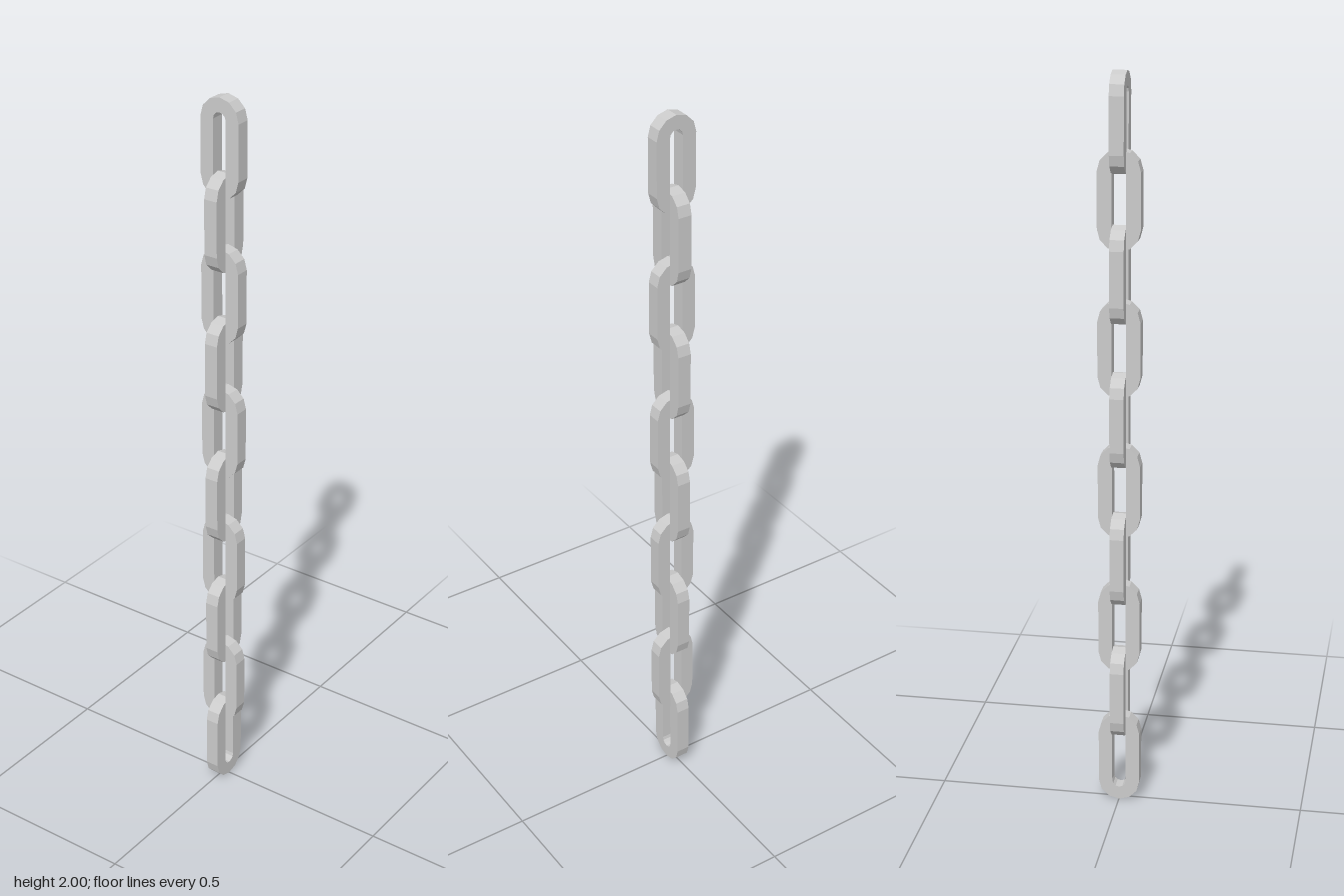
import * as THREE from 'three';

const COUNT = 10;          // links in the chain
const LENGTH = 0.258;      // overall length of a link
const RADIUS = 0.056;      // half width of a link
const BAR = 0.0374;        // square bar thickness
const PITCH = (2 - LENGTH) / (COUNT - 1);

// Stadium outline: two half circles joined by straight sides
function stadium(path, r, half) {
  path.absarc(0, half, r, 0, Math.PI, false);
  path.absarc(0, -half, r, Math.PI, Math.PI * 2, false);
  path.closePath();
  return path;
}

export function createModel() {
  const group = new THREE.Group();
  group.name = 'chain';
  const material = new THREE.MeshStandardMaterial({ color: 0xcccccc, flatShading: true });

  // One link: stadium with a stadium hole, six facets per rounded end
  const half = LENGTH / 2 - RADIUS;
  const shape = stadium(new THREE.Shape(), RADIUS, half);
  shape.holes.push(stadium(new THREE.Path(), RADIUS - BAR, half));
  const geometry = new THREE.ExtrudeGeometry(shape, { depth: BAR, bevelEnabled: false, curveSegments: 3 });
  geometry.translate(0, 0, -BAR / 2);

  // Links alternate by a quarter turn up the chain
  for (let i = 0; i < COUNT; i++) {
    const link = new THREE.Mesh(geometry, material);
    link.name = `link${i + 1}`;
    link.position.y = LENGTH / 2 + i * PITCH;
    link.rotation.y = (i % 2) * Math.PI / 2;
    group.add(link);
  }
  return group;
}
